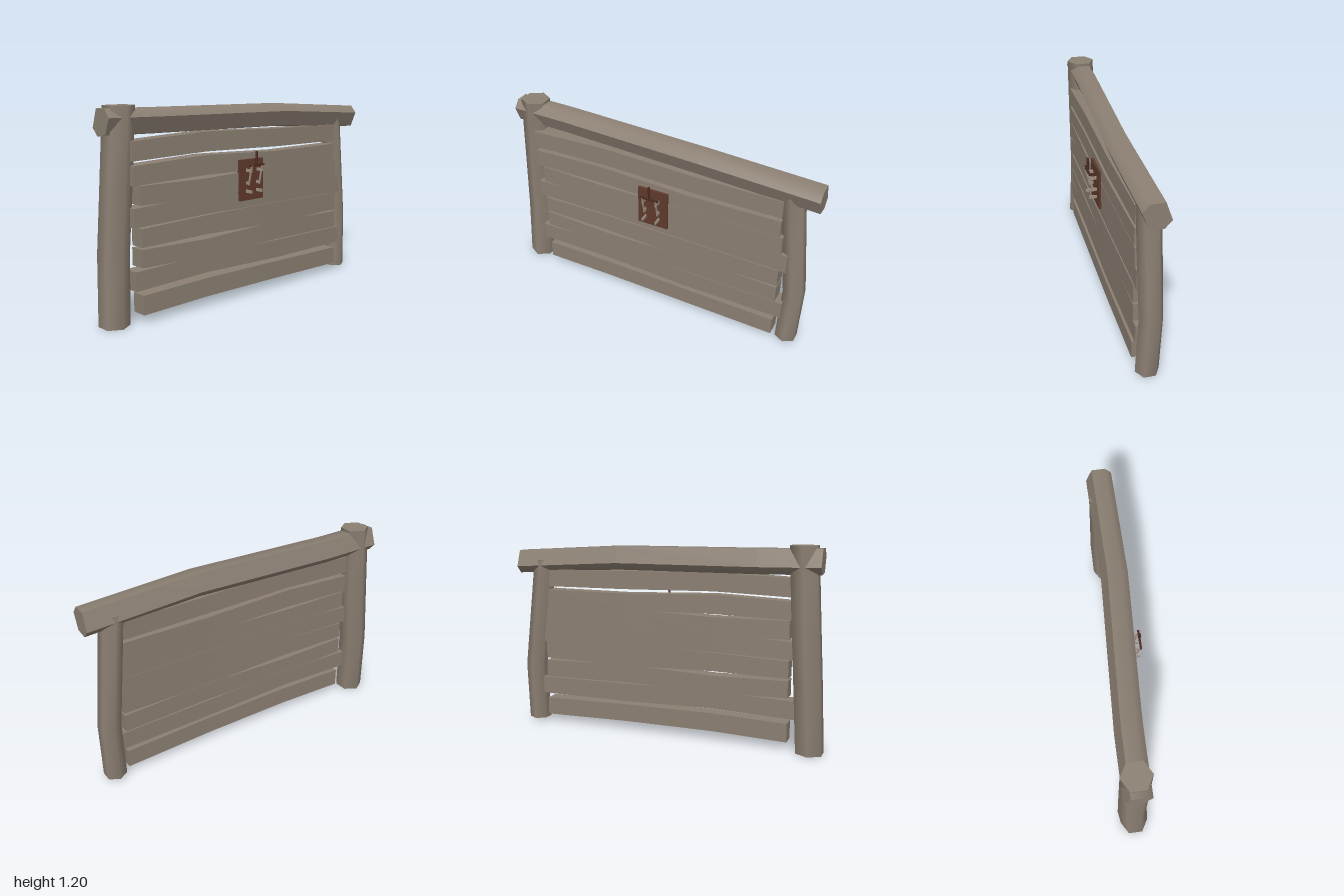
import * as THREE from 'three';
import { toCreasedNormals } from 'three/addons/utils/BufferGeometryUtils.js';

const mat = (name, color) => new THREE.MeshStandardMaterial({ name, color });

// Skin a stack of equal-sized rings of [x, y, z] points and cap both ends.
function loft(rings, crease) {
  const n = rings[0].length, last = (rings.length - 1) * n, index = [];
  for (let i = 0; i < rings.length - 1; i++) {
    for (let j = 0; j < n; j++) {
      const a = i * n + j, b = i * n + (j + 1) % n;
      index.push(a, b, b + n, a, b + n, a + n);
    }
  }
  for (let j = 1; j < n - 1; j++) {
    index.push(0, j + 1, j, last, last + j, last + j + 1);
  }
  const g = new THREE.BufferGeometry();
  g.setAttribute('position', new THREE.Float32BufferAttribute(rings.flat(2), 3));
  g.setIndex(index);
  return toCreasedNormals(g, crease);
}

// Upright six-sided log following a bent path; each point is [x, y, z, radius].
function postGeometry(path) {
  return loft(path.map(([x, y, z, r]) => Array.from({ length: 6 }, (_, i) => {
    const a = i * Math.PI / 3;
    return [x + r * Math.cos(a), y, z - r * Math.sin(a)];
  })), 1.15);
}

export function createModel() {
  const model = new THREE.Group();
  model.name = 'woodenWall';
  const wood = mat('weathered wood', 0x8b7f72);
  const brown = mat('brown board', 0x5f392c);
  const dark = mat('dark handle', 0x4a2a20);
  const metal = mat('pale metal', 0x9c9083);

  const add = (name, geometry, material, parent = model) => {
    const m = new THREE.Mesh(geometry, material);
    m.name = name;
    parent.add(m);
    return m;
  };
  const box = (name, size, pos, material, parent) => {
    const m = add(name, new THREE.BoxGeometry(...size), material, parent);
    m.position.set(...pos);
    return m;
  };

  // Posts
  add('frontPost', postGeometry([
    [-0.031, 0, 0.927, 0.087], [-0.047, 0.4, 0.908, 0.088],
    [-0.039, 0.8, 0.882, 0.088], [-0.031, 1.2, 0.858, 0.087]]), wood);
  add('rearPost', postGeometry([
    [0.013, 0.015, -0.901, 0.069], [0.003, 0.38, -0.91, 0.068],
    [0.01, 1.075, -0.83, 0.069]]), wood);

  // Top beam with an uneven six-sided section
  const section = [[-0.077, -0.03], [-0.035, -0.073], [0.04, -0.063],
    [0.077, 0.027], [0.04, 0.073], [-0.04, 0.073]];
  const beamPath = [[0.019, 1.06, -1], [0.019, 1.1, -0.3], [-0.033, 1.106, 0.6], [-0.037, 1.112, 0.968]];
  add('topBeam', loft(beamPath.map(([x, y, z]) =>
    section.map(([dx, dy]) => [x + dx, y + dy, z])), 1.0), wood);

  // Warped planks: [zMin, zMax, x shift, bottoms, tops], heights listed from rear to front
  const planks = [
    [-0.82, 0.79, 0.004, [0.045, 0.056, 0.059, 0.047], [0.157, 0.167, 0.172, 0.16]],
    [-0.865, 0.835, -0.002, [0.19, 0.19, 0.205, 0.19], [0.3, 0.305, 0.315, 0.3]],
    [-0.82, 0.79, 0.0, [0.305, 0.312, 0.305, 0.315], [0.415, 0.428, 0.408, 0.418]],
    [-0.82, 0.79, 0.002, [0.43, 0.42, 0.436, 0.43], [0.545, 0.555, 0.55, 0.535]],
    [-0.86, 0.835, -0.004, [0.54, 0.552, 0.555, 0.543], [0.66, 0.668, 0.67, 0.65]],
    [-0.82, 0.79, -0.002, [0.66, 0.665, 0.655, 0.662], [0.778, 0.785, 0.765, 0.77]],
    [-0.8, 0.835, -0.004, [0.775, 0.775, 0.785, 0.773], [0.885, 0.88, 0.9, 0.88]],
    [-0.8, 0.835, -0.006, [0.905, 0.908, 0.92, 0.905], [1.015, 1.02, 1.035, 1.012]],
  ];
  const fronts = [0.075, 0.075, 0.066, 0.054];
  planks.forEach(([z0, z1, dx, low, high], i) => {
    const zs = [z0, -0.25, 0.33, z1];
    add(`plank${i + 1}`, loft(zs.map((z, k) => {
      const x1 = fronts[k] + dx, x0 = x1 - 0.095;
      return [[x0, low[k], z], [x1, low[k], z], [x1, high[k], z], [x0, high[k], z]];
    }), 0.5), wood);
  });

  // Knife switch on its board
  const lever = new THREE.Group();
  lever.name = 'leverSwitch';
  model.add(lever);
  box('switchBoard', [0.028, 0.25, 0.195], [0.069, 0.725, -0.012], brown, lever);
  for (const z of [0.034, -0.054]) {
    box('lowerContact', [0.05, 0.018, 0.009], [0.105, 0.657, z], metal, lever);
    box('pivotContact', [0.026, 0.018, 0.009], [0.094, 0.708, z], metal, lever);
    box('upperContact', [0.05, 0.018, 0.009], [0.105, 0.785, z], metal, lever);
    const blade = box('blade', [0.011, 0.125, 0.006], [0.117, 0.757, z], metal, lever);
    blade.rotation.z = -0.21;
  }
  box('crossbar', [0.012, 0.012, 0.12], [0.127, 0.817, -0.01], dark, lever);
  const handle = add('handle', new THREE.CylinderGeometry(0.008, 0.006, 0.08, 8), dark, lever);
  handle.position.set(0.126, 0.86, -0.01);

  return model;
}
